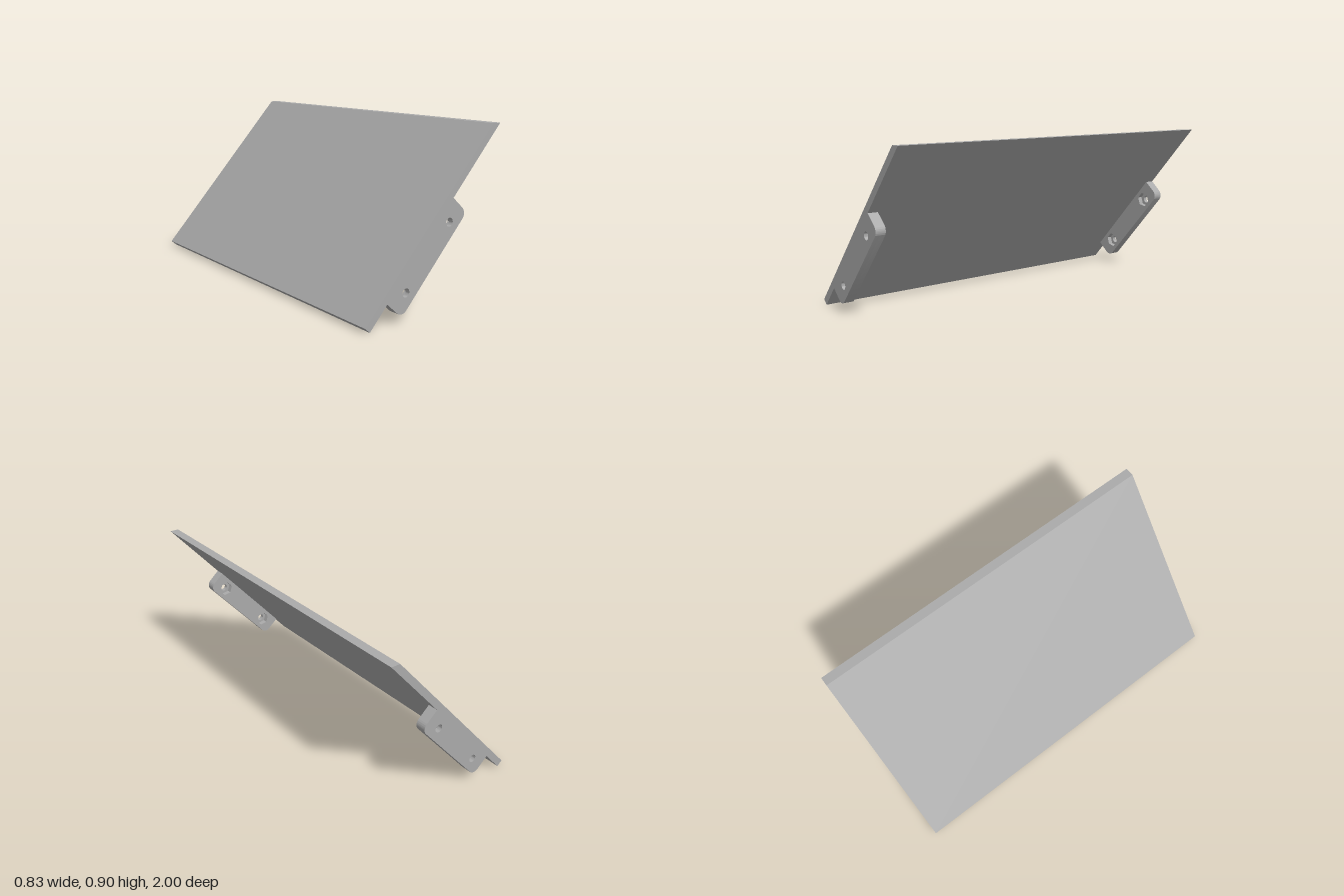
import * as THREE from 'three';
import { toCreasedNormals } from 'three/addons/utils/BufferGeometryUtils.js';

const SLOPE = Math.atan2(0.875, 0.776);
const LENGTH = 0.6, DEPTH = 0.12, RADIUS = 0.04;   // mounting tab outline
const THICK = 0.055, POCKET = 0.03;                // tab thickness, nut pocket depth
const HOLES = [0.1, 0.5];

function extrude(shape, depth) {
  const geo = new THREE.ExtrudeGeometry(shape, { depth, bevelEnabled: false, curveSegments: 16 });
  return toCreasedNormals(geo, 0.5);
}

// Tab outline with its two free corners rounded, x running along the panel
function tabShape() {
  const s = new THREE.Shape();
  s.moveTo(LENGTH, 0);
  s.lineTo(0, 0);
  s.lineTo(0, RADIUS - DEPTH);
  s.absarc(RADIUS, RADIUS - DEPTH, RADIUS, Math.PI, Math.PI * 1.5, false);
  s.absarc(LENGTH - RADIUS, RADIUS - DEPTH, RADIUS, Math.PI * 1.5, Math.PI * 2, false);
  s.closePath();
  return s;
}

function roundHole(x) {
  return new THREE.Path().absarc(x, -DEPTH / 2, 0.0215, 0, Math.PI * 2, true);
}

function hexHole(x) {
  const pts = [];
  for (let i = 0; i < 6; i++) {
    const a = -i * Math.PI / 3;
    pts.push(new THREE.Vector2(x + 0.043 * Math.cos(a), -DEPTH / 2 + 0.043 * Math.sin(a)));
  }
  return new THREE.Path(pts);
}

export function createModel() {
  const model = new THREE.Group();
  model.name = 'slopedPanel';
  const grey = new THREE.MeshStandardMaterial({ color: 0xaaaaaa });
  grey.name = 'grey';

  // Sloping panel, cut level along its top edge
  const profile = new THREE.Shape([
    new THREE.Vector2(-0.413, 0.025),
    new THREE.Vector2(-0.385, 0),
    new THREE.Vector2(0.413, 0.9),
    new THREE.Vector2(0.363, 0.9),
  ]);
  const panel = new THREE.Mesh(extrude(profile, 2), grey);
  panel.name = 'panel';
  panel.position.z = -1;
  model.add(panel);

  // Tab layers: bolt holes outside, hexagonal nut pockets inside
  const outerShape = tabShape();
  outerShape.holes = HOLES.map(roundHole);
  const innerShape = tabShape();
  innerShape.holes = HOLES.map(hexHole);
  const outerGeo = extrude(outerShape, THICK - POCKET);
  const innerGeo = extrude(innerShape, POCKET);

  for (const side of [1, -1]) {
    const tab = new THREE.Group();
    tab.name = side > 0 ? 'frontTab' : 'backTab';
    const outer = new THREE.Mesh(outerGeo, grey);
    outer.name = 'boltPlate';
    outer.position.z = side > 0 ? 1 - THICK + POCKET : -1;
    const inner = new THREE.Mesh(innerGeo, grey);
    inner.name = 'nutPocketPlate';
    inner.position.z = side > 0 ? 1 - THICK : -1 + THICK - POCKET;
    tab.add(outer, inner);
    tab.position.set(-0.286, 0.113, 0);
    tab.rotation.z = SLOPE;
    model.add(tab);
  }
  return model;
}
